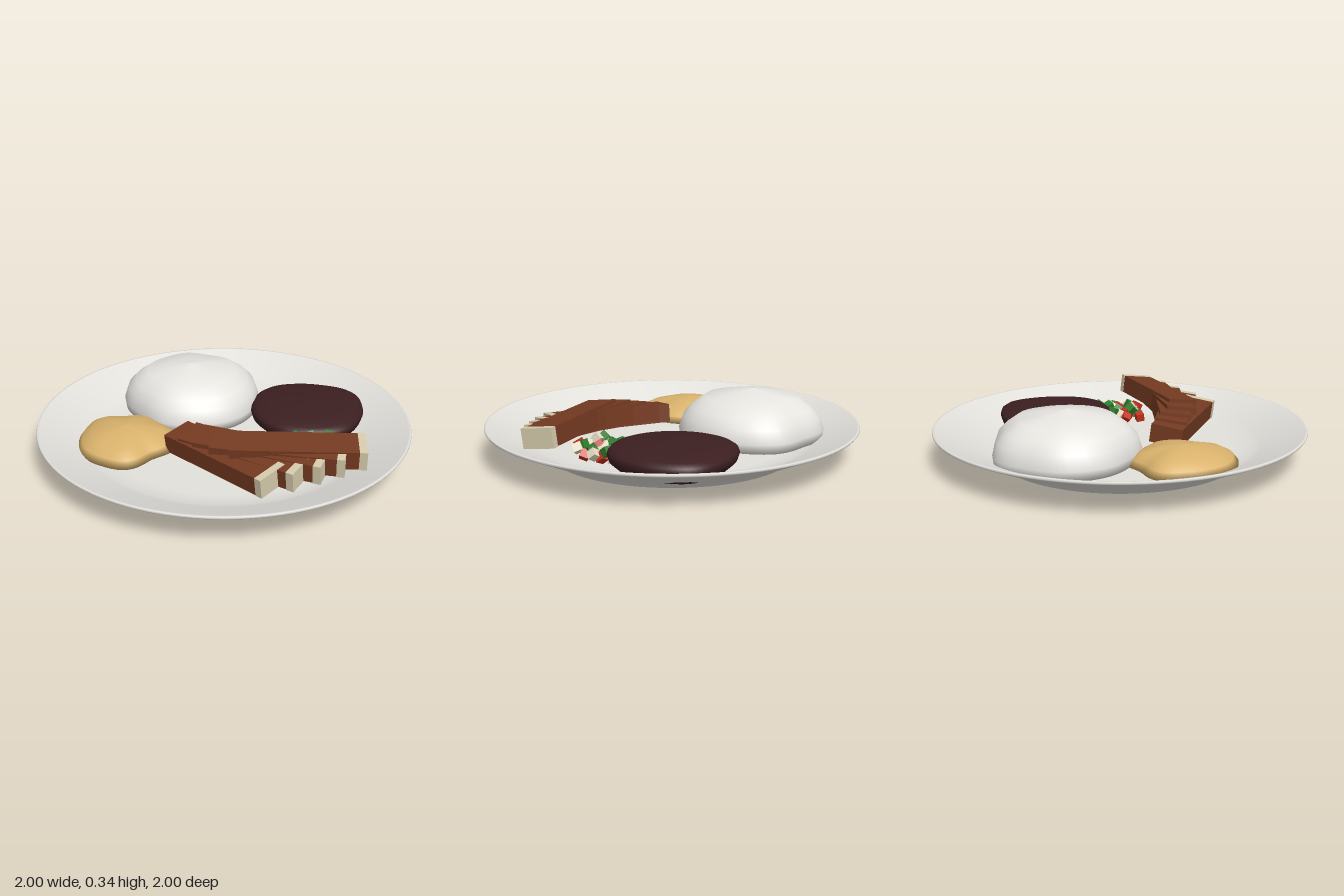
import * as THREE from 'three';

const mat = (name, color) => {
  const m = new THREE.MeshStandardMaterial({ color });
  m.name = name;
  return m;
};

// Closed mound: twelve outline radii, scaled ring by ring down a profile of [scale, y]
function mound(name, material, x, z, radii, profile, n = 72) {
  const radiusAt = (t) => {
    const k = Math.floor(t), f = t - k, r = (i) => radii[(k + i + 12) % 12];
    const a = r(-1), b = r(0), c = r(1), d = r(2);
    return b + 0.5 * f * (c - a + f * (2 * a - 5 * b + 4 * c - d + f * (3 * (b - c) + d - a)));
  };
  const pos = [], index = [];
  profile.forEach(([s, y], j) => {
    for (let i = 0; i < n; i++) {
      const a = (i / n) * Math.PI * 2, r = s * radiusAt((i / n) * 12);
      pos.push(x + Math.cos(a) * r, y, z + Math.sin(a) * r);
      if (j === profile.length - 1) continue;
      const p = j * n + i, q = j * n + ((i + 1) % n);
      index.push(p, q, p + n, q, q + n, p + n);
    }
  });
  const g = new THREE.BufferGeometry();
  g.setAttribute('position', new THREE.Float32BufferAttribute(pos, 3));
  g.setIndex(index);
  g.computeVertexNormals();
  const m = new THREE.Mesh(g, material);
  m.name = name;
  return m;
}

export function createModel() {
  const root = new THREE.Group();
  root.name = 'plateOfFood';
  const china = mat('china', 0xe3e1dc), white = mat('rice', 0xf3f1ec);
  const gold = mat('toastedFlour', 0xd9b26c), dark = mat('beans', 0x3c1f21);
  const brown = mat('meat', 0x743a21), cream = mat('fat', 0xd6caac);
  const red = mat('tomato', 0xc8321f), green = mat('pepper', 0x2f7d2b), pale = mat('onion', 0xe8dcc4);

  // Plate: foot, sloping wall, thin rim and dished inside
  const outline = [[0, 0], [0.65, 0], [0.66, 0.003], [0.7, 0.03], [0.72, 0.04], [0.995, 0.163], [1, 0.17],
    [0.997, 0.178], [0.985, 0.178], [0.76, 0.082], [0.72, 0.068], [0.66, 0.055], [0.6, 0.05], [0, 0.05]];
  const plate = new THREE.Mesh(
    new THREE.LatheGeometry(outline.map(([r, y]) => new THREE.Vector2(r, y)), 96), china);
  plate.name = 'plate';
  root.add(plate);

  // Rice, beans and toasted flour
  root.add(mound('riceMound', white, -0.32, -0.28,
    [0.385, 0.39, 0.38, 0.38, 0.36, 0.38, 0.39, 0.38, 0.4, 0.375, 0.41, 0.39],
    [[0, 0.34], [0.3, 0.32], [0.65, 0.295], [0.83, 0.245], [0.94, 0.2], [1, 0.13], [0.98, 0.08], [0, 0.06]]));
  root.add(mound('beanMound', dark, 0.355, -0.345,
    [0.31, 0.32, 0.32, 0.305, 0.3, 0.305, 0.32, 0.34, 0.325, 0.325, 0.355, 0.325],
    [[0, 0.205], [0.07, 0.196], [0.35, 0.192], [0.7, 0.182], [0.9, 0.168], [0.98, 0.15], [1, 0.13],
      [0.97, 0.1], [0.85, 0.065], [0, 0.055]]));
  root.add(mound('flourMound', gold, -0.45, 0.29,
    [0.28, 0.255, 0.31, 0.285, 0.27, 0.255, 0.265, 0.295, 0.25, 0.28, 0.26, 0.29],
    [[0, 0.186], [0.15, 0.182], [0.4, 0.173], [0.7, 0.15], [0.9, 0.118], [1, 0.083], [0, 0.06]]));

  // Fanned meat slices, each with a strip of fat on its end: [x, z, turn in degrees]
  const slices = [[0.145, 0.36, -22], [0.24, 0.325, -11], [0.325, 0.295, 0], [0.41, 0.275, 11], [0.5, 0.24, 20]];
  slices.forEach(([x, z, turn], i) => {
    const slice = new THREE.Group();
    slice.name = 'meatSlice' + (i + 1);
    slice.position.set(x, 0.146 + i * 0.0145, z);
    slice.rotation.set(0.13, THREE.MathUtils.degToRad(turn), 0, 'YXZ');
    const meat = new THREE.Mesh(new THREE.BoxGeometry(0.64, 0.1, 0.172), brown);
    meat.name = 'meat';
    meat.position.x = -0.02;
    const fat = new THREE.Mesh(new THREE.BoxGeometry(0.04, 0.104, 0.176), cream);
    fat.name = 'fatStrip';
    fat.position.x = 0.32;
    slice.add(meat, fat);
    root.add(slice);
  });

  // Diced vegetable salad
  let seed = 7;
  const rand = () => (seed = (seed * 16807) % 2147483647) / 2147483647;
  for (let i = 0; i < 10; i++) rand();
  const salad = new THREE.Group();
  salad.name = 'dicedSalad';
  const cube = new THREE.BoxGeometry(0.045, 0.045, 0.045);
  for (let i = 0; i < 32; i++) {
    const dice = new THREE.Mesh(cube, [red, green, pale][i % 3]);
    dice.name = ['tomatoDice', 'pepperDice', 'onionDice'][i % 3];
    const a = i * 2.4, r = 0.14 * Math.sqrt((i + 0.5) / 32);
    dice.position.set(0.5 + Math.cos(a) * r * 0.85, 0.085 + rand() * 0.065, 0.015 + Math.sin(a) * r);
    dice.rotation.set(rand() * 0.8, rand() * 3, rand() * 0.8);
    salad.add(dice);
  }
  root.add(salad);
  return root;
}
